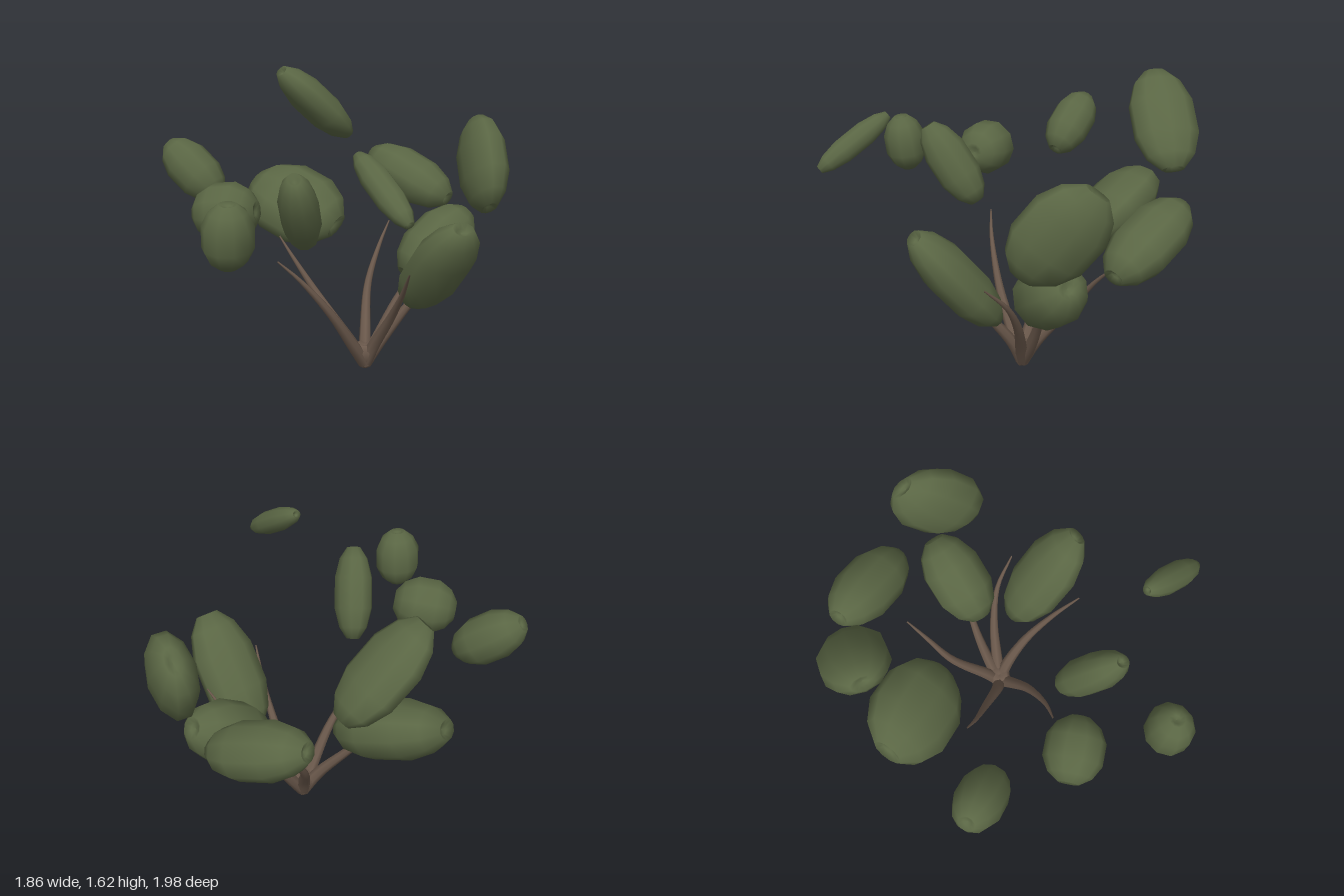
import * as THREE from 'three';

const V = (a) => new THREE.Vector3(...a);

const leafGreen = new THREE.MeshStandardMaterial({ color: 0x5a6644 });
leafGreen.name = 'leafGreen';
const barkBrown = new THREE.MeshStandardMaterial({ color: 0x6b594c });
barkBrown.name = 'barkBrown';

// Unit foliage clump: coarse ball along y with a dimple at each pole
const half = [[0, 0.87], [0.17, 0.9], [0.34, 0.98], [0.72, 0.74], [0.97, 0.33]];
const clumpProfile = [
  ...half.map(([r, y]) => new THREE.Vector2(r, -y)),
  ...half.slice().reverse().map(([r, y]) => new THREE.Vector2(r, y)),
];

// Stretch the unit clump: pole half-axis, a sideways hint, and two half-widths
function makeClump({ at, pole, side, widths }) {
  const u = V(pole);
  const length = u.length();
  u.normalize();
  const v = V(side).addScaledVector(u, -V(side).dot(u)).normalize();
  const w = new THREE.Vector3().crossVectors(v, u);
  const m = new THREE.Matrix4().makeBasis(
    v.multiplyScalar(widths[0]), u.multiplyScalar(length), w.multiplyScalar(widths[1]));
  m.setPosition(...at);
  const geo = new THREE.LatheGeometry(clumpProfile, 10);
  geo.applyMatrix4(m);
  return new THREE.Mesh(geo, leafGreen);
}

const clumps = [
  { at: [-0.765, 1.13, -0.51], pole: [-0.11, 0.13, -0.12], side: [1, 0, 0], widths: [0.13, 0.13] },
  { at: [-0.71, 1.025, 0.015], pole: [0.14, 0.02, 0.1], side: [0, 1, 0], widths: [0.158, 0.158] },
  { at: [-0.81, 1.05, 0.49], pole: [0, 0.165, 0.02], side: [1, 0, 0], widths: [0.13, 0.123] },
  { at: [-0.39, 1.055, 0.255], pole: [-0.065, 0.215, 0.13], side: [1, 0, 0], widths: [0.105, 0.125] },
  { at: [-0.16, 1.295, 0.797], pole: [-0.055, 0.125, -0.19], side: [1, 0, 0], widths: [0.073, 0.068] },
  { at: [-0.145, 0.84, -0.63], pole: [-0.18, 0.1, -0.22], side: [0.75, 0.5, -0.4], widths: [0.25, 0.16] },
  { at: [0.043, 1.395, -0.817], pole: [-0.21, 0.205, 0], side: [0, 0, 1], widths: [0.18, 0.11] },
  { at: [0.57, 0.955, -0.6], pole: [-0.16, 0.11, -0.22], side: [0.81, 0, -0.58], widths: [0.165, 0.145] },
  { at: [0.535, 0.675, -0.115], pole: [0.215, 0.15, -0.05], side: [0, 0, 1], widths: [0.175, 0.175] },
  { at: [0.8, 1.125, -0.095], pole: [0.035, 0.22, -0.17], side: [0, 0.61, 0.79], widths: [0.22, 0.125] },
  { at: [0.34, 0.7, 0.33], pole: [0.04, 0.275, 0.215], side: [1, 0, 0], widths: [0.182, 0.13] },
];

// Branch paths, all rising from the same root
const root = [0.08, 0.02, -0.064];
const branches = [
  [[0.0, 0.16, -0.11], [-0.14, 0.4, -0.24], [-0.26, 0.62, -0.35], [-0.31, 0.72, -0.415]],
  [[0.11, 0.16, -0.14], [0.19, 0.4, -0.31], [0.3, 0.6, -0.41], [0.39, 0.72, -0.48]],
  [[-0.01, 0.16, -0.02], [-0.15, 0.38, 0.03], [-0.33, 0.61, 0.045], [-0.45, 0.73, 0.03]],
  [[0.115, 0.16, 0.0], [0.15, 0.36, 0.14], [0.15, 0.55, 0.3], [0.127, 0.73, 0.455]],
  [[0.17, 0.16, -0.04], [0.32, 0.38, 0.01], [0.44, 0.57, 0.09], [0.52, 0.72, 0.215]],
  [[0.17, 0.16, -0.09], [0.29, 0.36, -0.11], [0.42, 0.55, -0.11], [0.52, 0.7, -0.1]],
];

// Tube drawn in towards its path so it tapers to a fine tip
function makeBranch(points) {
  const path = new THREE.CatmullRomCurve3([root, ...points].map(V));
  const steps = 16, sides = 7;
  const geo = new THREE.TubeGeometry(path, steps, 1, sides);
  const pos = geo.attributes.position;
  const p = new THREE.Vector3();
  for (let i = 0; i < pos.count; i++) {
    const t = Math.floor(i / (sides + 1)) / steps;
    const centre = path.getPointAt(t);
    const radius = 0.004 + 0.036 * Math.pow(1 - t, 0.9);
    p.fromBufferAttribute(pos, i).sub(centre).multiplyScalar(radius).add(centre);
    pos.setXYZ(i, p.x, Math.max(p.y, 0), p.z);
  }
  return new THREE.Mesh(geo, barkBrown);
}

export function createModel() {
  const model = new THREE.Group();
  model.name = 'shrub';

  // Short flared stump where the branches meet
  const stumpProfile = [[0, 0], [0.033, 0], [0.05, 0.05], [0.066, 0.1], [0.045, 0.14], [0, 0.125]]
    .map(([r, y]) => new THREE.Vector2(r, y));
  const stump = new THREE.Mesh(new THREE.LatheGeometry(stumpProfile, 10), barkBrown);
  stump.position.set(root[0], 0, root[2]);
  stump.name = 'stump';
  model.add(stump);

  const branchGroup = new THREE.Group();
  branchGroup.name = 'branches';
  branches.forEach((b, i) => {
    const mesh = makeBranch(b);
    mesh.name = `branch${i + 1}`;
    branchGroup.add(mesh);
  });
  model.add(branchGroup);

  const foliage = new THREE.Group();
  foliage.name = 'foliage';
  clumps.forEach((c, i) => {
    const mesh = makeClump(c);
    mesh.name = `leafClump${i + 1}`;
    foliage.add(mesh);
  });
  model.add(foliage);

  return model;
}
